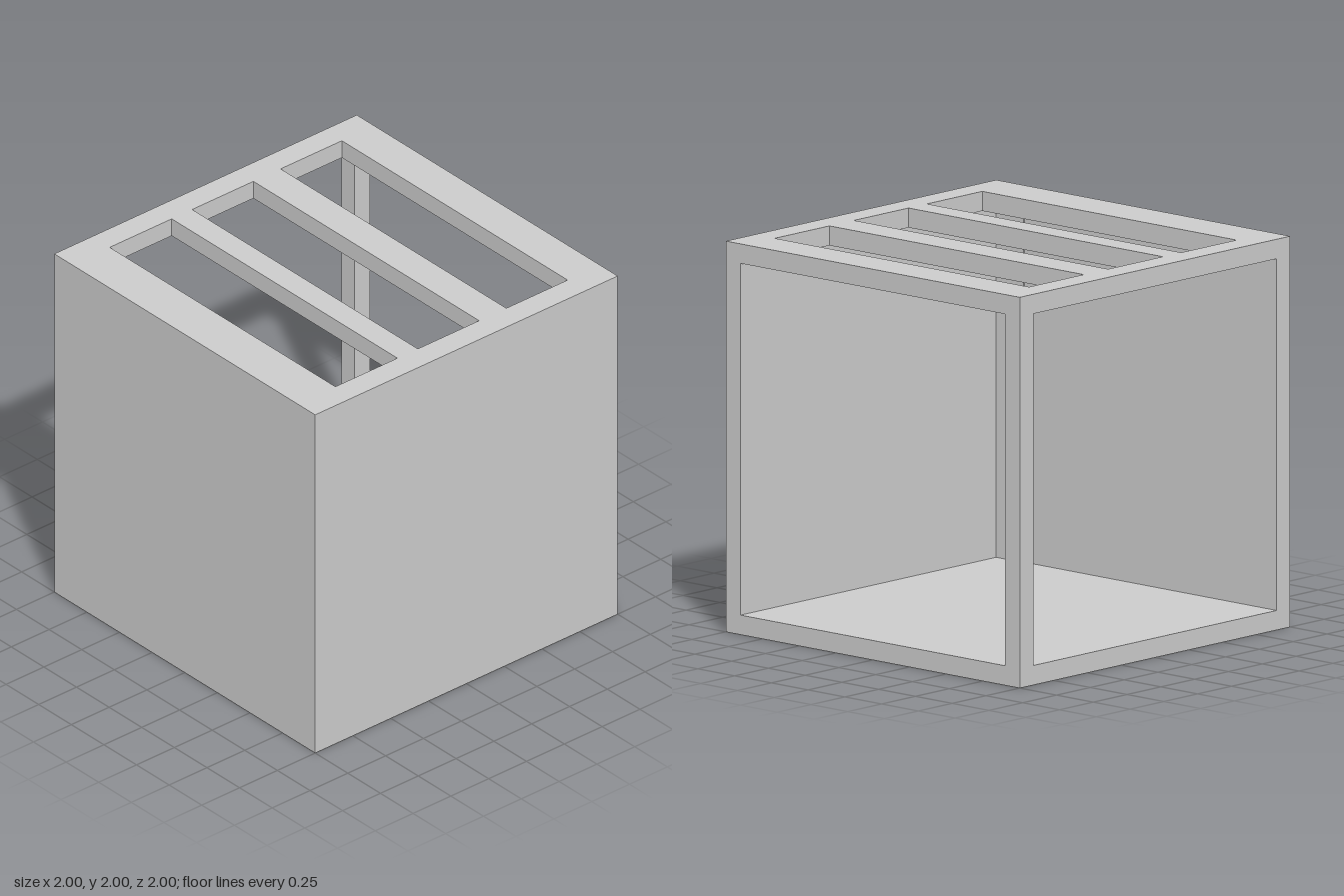
import * as THREE from 'three';

const T = 0.1; // panel thickness

export function createModel() {
  const group = new THREE.Group();
  const material = new THREE.MeshStandardMaterial({ color: 0xcccccc, flatShading: true });

  const add = (name, geometry) => {
    const mesh = new THREE.Mesh(geometry, material);
    mesh.name = name;
    group.add(mesh);
    return mesh;
  };

  // box given by its lower and upper corners
  const box = (name, [x0, y0, z0], [x1, y1, z1]) =>
    add(name, new THREE.BoxGeometry(x1 - x0, y1 - y0, z1 - z0))
      .position.set((x0 + x1) / 2, (y0 + y1) / 2, (z0 + z1) / 2);

  // floor, the two solid walls and the free corner post
  box('floor', [-1, 0, -1], [1, T, 1]);
  box('frontWall', [-1, T, 1 - T], [1, 2 - T, 1]);
  box('rightWall', [-1, T, -1], [-1 + T, 2 - T, 1 - T]);
  box('backLeftPost', [1 - T, T, -1], [1, 2 - T, -1 + T]);

  // shallow strip on the inside of the right wall, next to the front wall
  box('innerStrip', [-1 + T, T, 0.715], [-0.89, 2 - T, 1 - T]);

  // roof slab with three long slots
  const rect = (Type, x0, x1, z) => new Type([
    new THREE.Vector2(x0, -z), new THREE.Vector2(x1, -z),
    new THREE.Vector2(x1, z), new THREE.Vector2(x0, z),
  ]);
  const roof = rect(THREE.Shape, -1, 1, 1);
  for (const [x0, x1] of [[-0.75, -0.34], [-0.205, 0.2], [0.38, 0.785]]) {
    roof.holes.push(rect(THREE.Path, x0, x1, 0.865));
  }
  const slab = add('slottedRoof', new THREE.ExtrudeGeometry(roof, { depth: T, bevelEnabled: false }));
  slab.rotation.x = -Math.PI / 2;
  slab.position.y = 2 - T;

  return group;
}
